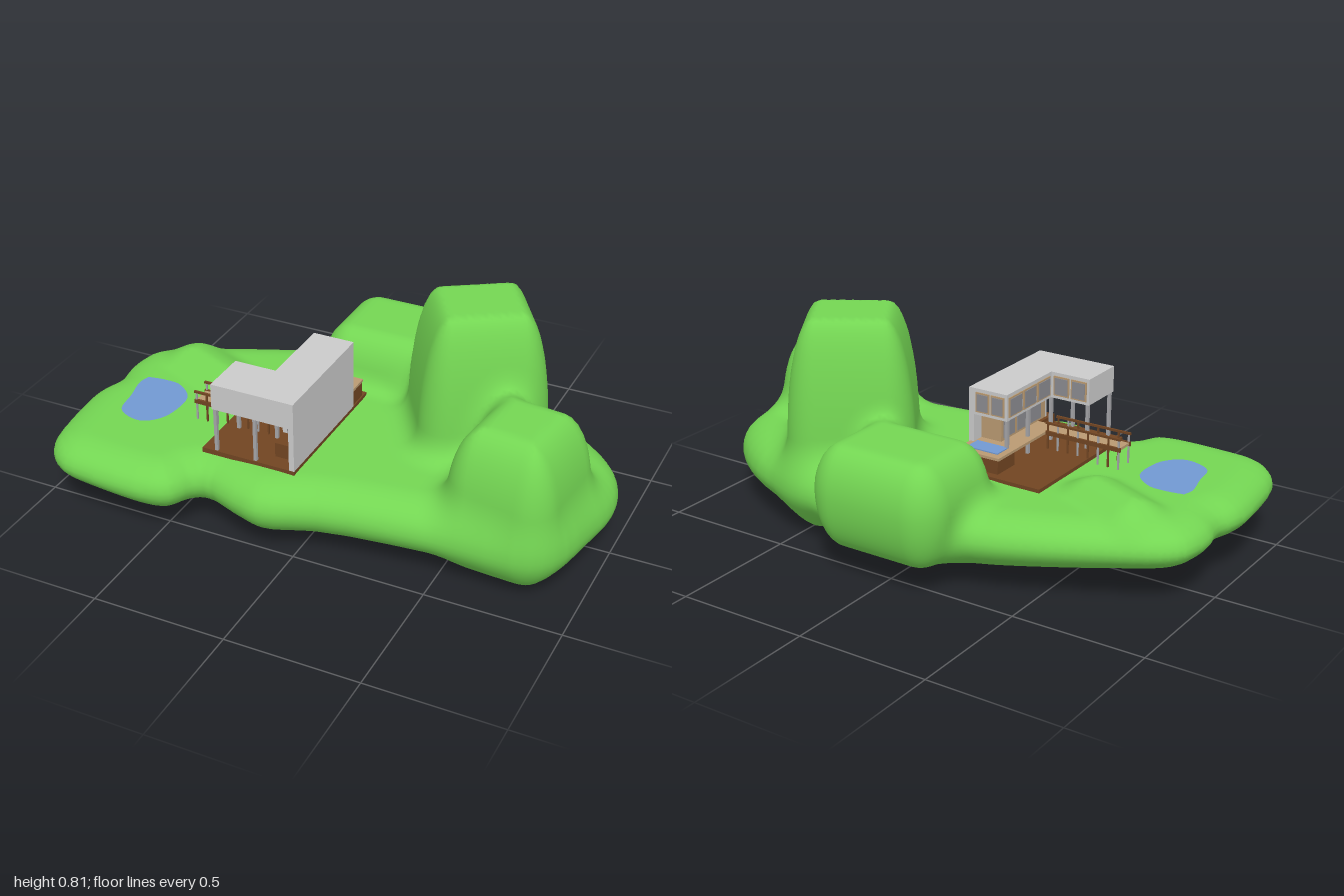
import * as THREE from 'three';

const mat = (name, color) => Object.assign(new THREE.MeshStandardMaterial({ color }), { name });
const grass = mat('grass green', 0x74d653);
const wall = mat('light grey wall', 0xcacaca);
const brown = mat('dark brown wood', 0x714522);
const tan = mat('tan wood', 0xb99a72);
const water = mat('water blue', 0x7199d2);
const glass = mat('grey glass', 0x8b8b90);
const steel = mat('grey steel', 0xa5a5a8);

// Island outline, [x, z]
const outline = new THREE.CatmullRomCurve3([
  [-0.98, -0.02], [-0.965, 0.08], [-0.995, 0.18], [-0.99, 0.35], [-0.95, 0.55], [-0.87, 0.625],
  [-0.74, 0.645], [-0.5, 0.645], [-0.42, 0.61], [-0.36, 0.515], [-0.22, 0.55], [-0.1, 0.575], [0.1, 0.505],
  [0.5, 0.45], [0.82, 0.42], [0.92, 0.33], [0.97, 0.15], [1, 0], [0.97, -0.14], [0.88, -0.25],
  [0.72, -0.36], [0.5, -0.44], [0.28, -0.49], [0, -0.5], [-0.28, -0.485], [-0.5, -0.41],
  [-0.76, -0.29], [-0.9, -0.215], [-0.96, -0.15],
].map(([x, z]) => new THREE.Vector3(x, 0, z)), true, 'centripetal').getPoints(90);

// Distance inside the outline (negative outside)
function outlineDepth(x, z) {
  let best = 9, inside = false;
  for (let i = 0; i + 1 < outline.length; i++) {
    const a = outline[i], b = outline[i + 1];
    const ex = b.x - a.x, ez = b.z - a.z, px = x - a.x, pz = z - a.z;
    const t = Math.min(1, Math.max(0, (px * ex + pz * ez) / (ex * ex + ez * ez)));
    best = Math.min(best, Math.hypot(px - t * ex, pz - t * ez));
    if ((a.z > z) !== (b.z > z) && x < a.x + (ex * pz) / ez) inside = !inside;
  }
  return inside ? best : -best;
}

// Distance inside a turned rounded rectangle
function boxDepth(x, z, h) {
  const c = Math.cos(h.turn), s = Math.sin(h.turn), dx = x - h.x, dz = z - h.z;
  const u = Math.abs(dx * c + dz * s) - h.a + h.corner, w = Math.abs(dz * c - dx * s) - h.b + h.corner;
  return h.corner - Math.hypot(Math.max(u, 0), Math.max(w, 0)) - Math.min(Math.max(u, w), 0);
}

// Slab with elliptically rounded rim of width r
function slab(depth, y, mid, top, bottom, r) {
  const h = y > mid ? top - mid : mid - bottom;
  const e = Math.max(0, 1 - depth / r), t = (y - mid) / h, len = Math.hypot(e, t);
  return ((len - 1) * len) / (Math.hypot(e / r, t / h) + 1e-6);
}

const hills = [
  { x: 0.425, z: -0.14, a: 0.235, b: 0.22, turn: -0.56, corner: 0.11, mid: 0.3, top: 0.81, bottom: 0.012, r: 0.11, k: 0.1 },
  { x: 0.715, z: 0.195, a: 0.205, b: 0.22, turn: 0.12, corner: 0.11, mid: 0.3, top: 0.585, bottom: 0.02, r: 0.13, k: 0.1 },
  { x: 0, z: -0.43, a: 0.27, b: 0.22, turn: 0, corner: 0.12, mid: 0.31, top: 0.485, bottom: 0.1, r: 0.11, k: 0.08 },
  { x: -0.64, z: -0.08, a: 0.21, b: 0.11, turn: 0.42, corner: 0.1, mid: 0.25, top: 0.35, bottom: 0.15, r: 0.14, k: 0.05 },
];

function field(x, y, z) {
  const mid = 0.19 - 0.018 * x;
  const r = 0.3 - 0.16 * THREE.MathUtils.smoothstep(y, mid - 0.04, mid + 0.04);
  let f = slab(outlineDepth(x, z), y, mid, 0.29, 0.03 + 0.08 * Math.max(0, -x - 0.1), r);
  for (const h of hills) {
    const g = slab(boxDepth(x, z, h), y, h.mid, h.top, h.bottom, h.r);
    const m = Math.max(h.k - Math.abs(f - g), 0) / h.k;
    f = Math.min(f, g) - (m * m * h.k) / 4;
  }
  return f;
}

// Smooth skin around the field: one vertex per crossed cell, one quad per crossed edge
function skinGeometry() {
  const step = 0.02, n = [108, 48, 74], min = [-1.075, -0.065, -0.735];
  const stride = [1, n[0], n[0] * n[1]], values = new Float32Array(n[0] * n[1] * n[2]);
  const each = (from, fn) => {
    for (let k = from; k < n[2] - 1; k++) for (let j = from; j < n[1] - 1; j++)
      for (let i = from; i < n[0] - 1; i++) fn([i, j, k], i + j * stride[1] + k * stride[2]);
  };
  for (let k = 0, id = 0; k < n[2]; k++) for (let j = 0; j < n[1]; j++) for (let i = 0; i < n[0]; i++, id++)
    values[id] = field(min[0] + i * step, min[1] + j * step, min[2] + k * step);
  const cell = new Map(), pos = [], nor = [], index = [];
  each(0, (p, id) => {
    const sum = [0, 0, 0];
    let count = 0;
    for (let c = 0; c < 8; c++) for (let a = 0; a < 3; a++) {
      if (c & (1 << a)) continue;
      const o = [c & 1, (c >> 1) & 1, c >> 2];
      const q = id + o[0] + o[1] * stride[1] + o[2] * stride[2];
      const v = values[q], w = values[q + stride[a]];
      if ((v < 0) === (w < 0)) continue;
      o[a] += v / (v - w);
      for (let d = 0; d < 3; d++) sum[d] += o[d];
      count++;
    }
    if (!count) return;
    const [x, y, z] = sum.map((s, d) => min[d] + (p[d] + s / count) * step), e = 0.008;
    cell.set(id, pos.length / 3);
    pos.push(x, y, z);
    const g = new THREE.Vector3(field(x + e, y, z) - field(x - e, y, z),
      field(x, y + e, z) - field(x, y - e, z), field(x, y, z + e) - field(x, y, z - e)).normalize();
    nor.push(g.x, g.y, g.z);
  });
  each(1, (p, id) => {
    for (let a = 0; a < 3; a++) {
      const inside = values[id] < 0;
      if (inside === values[id + stride[a]] < 0) continue;
      const b = stride[(a + 1) % 3], c = stride[(a + 2) % 3];
      const q = [id - b - c, id - c, id, id - b].map((v) => cell.get(v));
      if (!inside) q.reverse();
      index.push(q[0], q[1], q[2], q[0], q[2], q[3]);
    }
  });
  const geo = new THREE.BufferGeometry();
  geo.setAttribute('position', new THREE.Float32BufferAttribute(pos, 3));
  geo.setAttribute('normal', new THREE.Float32BufferAttribute(nor, 3));
  geo.setIndex(index);
  return geo;
}

export function createModel() {
  const model = new THREE.Group();
  const house = new THREE.Group();
  const bridge = new THREE.Group();
  model.name = 'islandHouse';
  house.name = 'house';
  bridge.name = 'bridge';
  const add = (parent, name, geo, material) => {
    const mesh = new THREE.Mesh(geo, material);
    mesh.name = name;
    parent.add(mesh);
    return mesh;
  };
  // Box given by its extents
  const box = (parent, name, material, x0, x1, y0, y1, z0, z1) =>
    add(parent, name, new THREE.BoxGeometry(x1 - x0, y1 - y0, z1 - z0), material)
      .position.set((x0 + x1) / 2, (y0 + y1) / 2, (z0 + z1) / 2);

  add(model, 'terrain', skinGeometry(), grass);

  // Pond
  const pond = new THREE.Shape();
  pond.moveTo(-0.82, -0.09);
  pond.splineThru([[-0.75, -0.08], [-0.68, -0.09], [-0.61, -0.16], [-0.61, -0.28], [-0.65, -0.35],
    [-0.71, -0.37], [-0.79, -0.33], [-0.81, -0.23], [-0.83, -0.14], [-0.82, -0.09]].map((p) => new THREE.Vector2(...p)));
  add(model, 'pond', new THREE.ShapeGeometry(pond, 4).rotateX(-Math.PI / 2), water).position.y = 0.301;

  // Ground deck and raised floor with pool
  box(house, 'groundDeck', brown, -0.39, -0.025, 0.285, 0.304, -0.16, 0.43);
  box(house, 'baseCabinet', brown, -0.13, -0.045, 0.304, 0.36, 0, 0.37);
  box(house, 'poolBase', brown, -0.2, -0.03, 0.304, 0.36, -0.13, -0.02);
  box(house, 'raisedFloor', tan, -0.21, -0.03, 0.36, 0.37, -0.14, 0.25);
  box(house, 'poolWater', water, -0.185, -0.055, 0.37, 0.374, -0.11, -0.04);

  // Upper storey in an L, and the closed outer wall
  box(house, 'outerWall', wall, -0.045, -0.025, 0.304, 0.575, -0.05, 0.43);
  box(house, 'mainWing', wall, -0.185, -0.045, 0.475, 0.575, -0.05, 0.43);
  box(house, 'frontWing', wall, -0.345, -0.185, 0.475, 0.575, 0.25, 0.43);

  // Lower rooms
  box(house, 'lowerRoom', tan, -0.13, -0.045, 0.37, 0.475, 0, 0.3);
  box(house, 'frontPanel', wall, -0.13, -0.045, 0.37, 0.475, 0.3, 0.31);
  box(house, 'frontDoor', glass, -0.11, -0.055, 0.375, 0.445, 0.31, 0.314);
  for (let i = 0; i < 3; i++) {
    const z = 0.015 + i * 0.09;
    box(house, 'lowerWindow', glass, -0.134, -0.13, 0.38, 0.46, z, z + 0.07);
  }

  // Upper windows in tan frames, facing the courtyard and the pool
  for (let i = 0; i < 3; i++) {
    const z = -0.04 + i * 0.095;
    box(house, 'courtWindowFrame', tan, -0.189, -0.185, 0.487, 0.562, z, z + 0.088);
    box(house, 'courtWindow', glass, -0.192, -0.189, 0.493, 0.556, z + 0.007, z + 0.081);
  }
  for (const [x0, x1, z] of [[-0.175, -0.118, -0.05], [-0.112, -0.055, -0.05], [-0.335, -0.27, 0.25], [-0.262, -0.197, 0.25]]) {
    box(house, 'wingWindowFrame', tan, x0, x1, 0.487, 0.562, z - 0.004, z);
    box(house, 'wingWindow', glass, x0 + 0.006, x1 - 0.006, 0.493, 0.556, z - 0.007, z - 0.004);
  }

  // Posts under the upper storey
  for (const [x, z] of [[-0.335, 0.26], [-0.335, 0.42], [-0.18, 0.42], [-0.18, 0.26], [-0.18, 0.1], [-0.18, -0.04]])
    box(house, 'post', steel, x - 0.006, x + 0.006, 0.304, 0.475, z - 0.006, z + 0.006);

  // Footbridge with side rails on thin posts
  box(bridge, 'bridgeDeck', tan, -0.515, -0.19, 0.36, 0.37, 0.18, 0.25);
  for (const z of [0.178, 0.252]) {
    box(bridge, 'bridgeBeam', brown, -0.52, -0.21, 0.357, 0.373, z - 0.004, z + 0.004);
    box(bridge, 'handRail', brown, -0.52, -0.21, 0.4, 0.408, z - 0.004, z + 0.004);
    for (let i = 0; i < 8; i++) {
      const x = -0.512 + i * 0.042;
      box(bridge, 'railPost', i % 2 ? brown : steel, x - 0.003, x + 0.003, 0.285, 0.402, z - 0.003, z + 0.003);
    }
  }

  model.add(house, bridge);
  return model;
}
